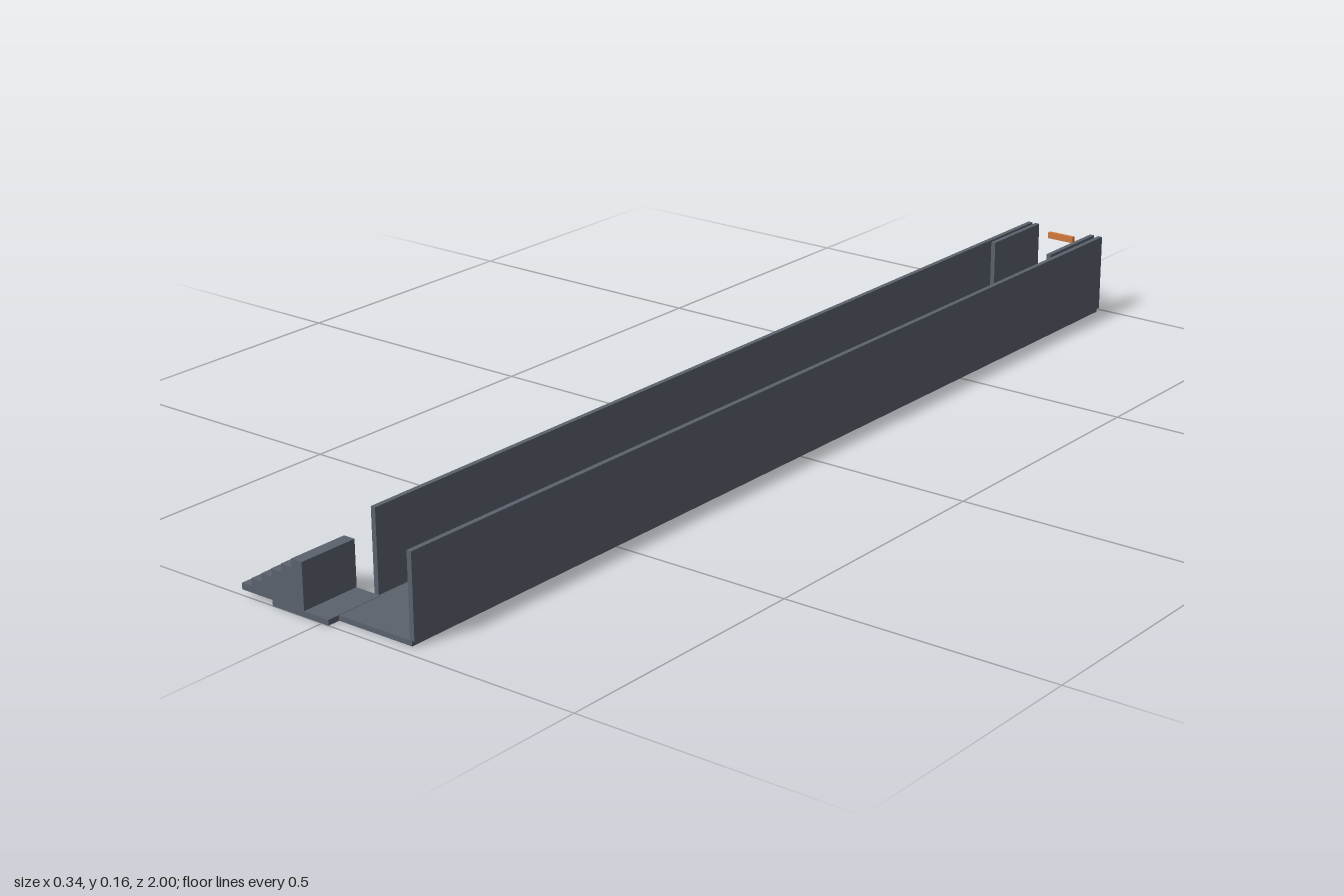
import * as THREE from 'three';

const grey = new THREE.MeshStandardMaterial({ color: 0x5a626d });
grey.name = 'slate grey';
const orange = new THREE.MeshStandardMaterial({ color: 0xcf7a3e });
orange.name = 'orange';

// Box given by its extents on each axis
function block(parent, name, [x0, x1], [y0, y1], [z0, z1], material = grey) {
  const mesh = new THREE.Mesh(new THREE.BoxGeometry(x1 - x0, y1 - y0, z1 - z0), material);
  mesh.position.set((x0 + x1) / 2, (y0 + y1) / 2, (z0 + z1) / 2);
  mesh.name = name;
  parent.add(mesh);
  return mesh;
}

function group(parent, name) {
  const g = new THREE.Group();
  g.name = name;
  parent.add(g);
  return g;
}

export function createModel() {
  const model = new THREE.Group();
  model.name = 'corridor';
  const floorTop = 0.009, wallTop = 0.155;
  const back = -0.985, front = 0.977, opening = 0.886;

  // Corridor floor and long walls; the right wall stops at the side entrance
  block(model, 'floor', [0.002, 0.165], [0, floorTop], [back, front]);
  block(model, 'rightWall', [0.001, 0.01], [floorTop, wallTop], [back, opening]);
  block(model, 'leftWall', [0.161, 0.17], [floorTop, wallTop], [back, front]);

  // Short inner walls beside the platform
  for (const x of [0.017, 0.143])
    block(model, 'innerWall', [x, x + 0.009], [floorTop, wallTop], [back, -0.825]);

  // Framed doors along the left wall
  for (let i = 0; i < 4; i++) {
    const door = group(model, 'door');
    const z = -0.657 + i * 0.443, half = 0.037, rim = 0.008, top = 0.147;
    block(door, 'doorLeaf', [0.157, 0.161], [floorTop, top - rim], [z - half + rim, z + half - rim]);
    block(door, 'doorLintel', [0.153, 0.161], [top - rim, top], [z - half, z + half]);
    for (const s of [-1, 1]) {
      const edge = z + s * half, inner = edge - s * rim;
      block(door, 'doorJamb', [0.153, 0.161], [floorTop, top - rim],
        [Math.min(edge, inner), Math.max(edge, inner)]);
    }
  }

  // Platform of stacked slabs, each lower one set in further from the back
  const platform = group(model, 'platform');
  for (let i = 0; i < 7; i++) {
    const y = 0.071 - i * 0.008;
    block(platform, 'platformSlab', [0.026, 0.143], [i === 6 ? floorTop : y - 0.008, y],
      [-1 + i * 0.0205, -0.855]);
  }

  // Hanging sign over the platform
  block(model, 'sign', [0.057, 0.113], [0.135, 0.147], [-0.977, -0.969], orange);

  // Entrance landing and solid side stairs
  block(model, 'landing', [-0.105, 0.014], [0, 0.0095], [opening, 1]);
  const profile = new THREE.Shape();
  profile.moveTo(-0.037, 0.01);
  profile.lineTo(-0.037, 0.091);
  for (let i = 5; i >= 0; i--) {
    const x = -0.171 + i * 0.0223;
    profile.lineTo(x, 0.021 + i * 0.014);
    profile.lineTo(x, i ? 0.007 + i * 0.014 : 0.01);
  }
  const stairs = new THREE.Mesh(
    new THREE.ExtrudeGeometry(profile, { depth: 1 - opening, bevelEnabled: false }), grey);
  stairs.position.z = opening;
  stairs.name = 'stairs';
  model.add(stairs);

  return model;
}
